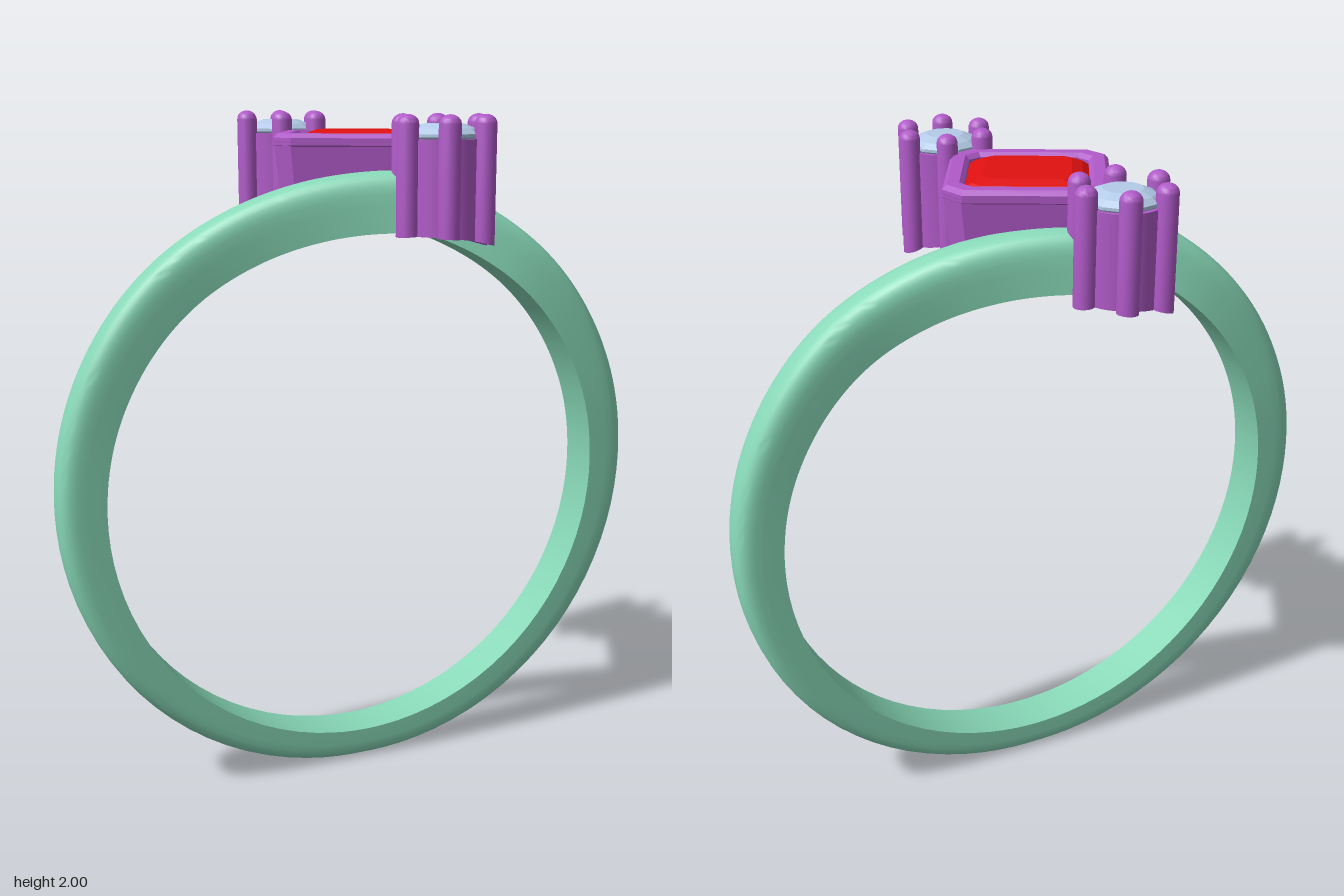
import * as THREE from 'three';
import { toCreasedNormals } from 'three/addons/utils/BufferGeometryUtils.js';

const mat = (color, flatShading = false) =>
  new THREE.MeshStandardMaterial({ color, flatShading, side: THREE.DoubleSide });
const GREEN = mat(0x88d8b8), PURPLE = mat(0xb05ac8);
const RED = mat(0xe01010, true), BLUE = mat(0xb4cbe8, true);

const FINGER_Y = 0.89, FINGER_R = 0.79, HEAD_TURN = -0.47;
const V2 = (x, y) => new THREE.Vector2(x, y);

function add(parent, name, geometry, material) {
  const mesh = new THREE.Mesh(geometry, material);
  mesh.name = name;
  parent.add(mesh);
  return mesh;
}

// Trims the underside of a part to the finger opening
function trimToFinger(geo) {
  const p = geo.attributes.position;
  geo.computeBoundingBox();
  const low = geo.boundingBox.min.y + 1e-3;
  for (let i = 0; i < p.count; i++) {
    if (p.getY(i) > low) continue;
    const x = p.getX(i);
    p.setY(i, FINGER_Y + Math.sqrt(FINGER_R ** 2 - x * x));
  }
  geo.computeVertexNormals();
  return geo;
}

// Band: domed section swept around the finger, its two ends passing each other at the top
function bandGeometry() {
  const drift = new THREE.SplineCurve([
    V2(0, 0), V2(45, 0.008), V2(90, 0.015), V2(113, 0.012),
    V2(136, -0.012), V2(152, -0.07), V2(167, -0.15), V2(181, -0.238),
  ]);
  const section = [[-0.067, 0], [0.067, 0]];
  for (let i = 0; i <= 16; i++) {
    const a = (i / 16) * Math.PI, c = Math.cos(a);
    section.push([0.067 * Math.sign(c) * Math.abs(c) ** 0.65, 0.45 + 0.55 * Math.abs(Math.sin(a)) ** 0.65]);
  }
  const n = section.length, steps = 160, pos = [], idx = [];
  for (let i = 0; i <= steps; i++) {
    const s = (i / steps) * 2 - 1, side = Math.sign(s);
    const k = drift.getPoint(Math.abs(s));
    const a = side * THREE.MathUtils.degToRad(k.x);
    const thick = 0.095 + 0.072 * (k.x / 180);
    for (const [w, h] of section) {
      const r = FINGER_R + thick * h;
      pos.push(r * Math.sin(a), FINGER_Y - r * Math.cos(a), side * k.y + w);
    }
  }
  for (let i = 0; i < steps; i++) for (let j = 0; j < n; j++) {
    const a = i * n + j, b = i * n + (j + 1) % n;
    idx.push(a, b, b + n, a, b + n, a + n);
  }
  for (let j = 1; j < n - 1; j++) {
    const e = steps * n;
    idx.push(0, j + 1, j, e, e + j, e + j + 1);
  }
  const geo = new THREE.BufferGeometry();
  geo.setAttribute('position', new THREE.Float32BufferAttribute(pos, 3));
  geo.setIndex(idx);
  return toCreasedNormals(geo, 0.7);
}

// Rectangle with cut corners, as points in the x-z plane
const cutRect = (a, b, c) => [
  V2(a, -b + c), V2(a, b - c), V2(a - c, b), V2(-a + c, b),
  V2(-a, b - c), V2(-a, -b + c), V2(-a + c, -b), V2(a - c, -b),
];

// One wall of the centre setting, tapering downward, with optional round openings
function wallGeometry(p, q, pierced) {
  const half = p.distanceTo(q) / 2, top = 1.925, bottom = 1.62;
  const shape = new THREE.Shape([V2(half, bottom), V2(half, top), V2(-half, top), V2(-half, bottom)]);
  for (let i = 1; i < 8; i++) shape.lineTo(-half + (i / 8) * 2 * half, bottom);
  if (pierced) for (const y of [1.745, 1.852]) for (const x of [-0.115, 0, 0.115]) {
    shape.holes.push(new THREE.Path().absarc(x, y, 0.036, 0, Math.PI * 2, true));
  }
  const geo = new THREE.ExtrudeGeometry(shape, { depth: 0.045, bevelEnabled: false, curveSegments: 16 });
  geo.translate(0, 0, -0.045);
  const d = q.clone().sub(p);
  geo.rotateY(Math.atan2(d.y, -d.x));
  geo.translate((p.x + q.x) / 2, 0, (p.y + q.y) / 2);
  geo.rotateY(HEAD_TURN);
  const v = geo.attributes.position;
  for (let i = 0; i < v.count; i++) {
    const s = 1 - 0.4 * (top - v.getY(i));
    v.setX(i, v.getX(i) * s);
    v.setZ(i, v.getZ(i) * s);
  }
  return trimToFinger(geo);
}

// Step-cut stone lofted through cut rectangles of [half width, y]
function stepStone() {
  const levels = [[0.03, 1.8], [0.11, 1.84], [0.178, 1.905], [0.178, 1.915], [0.15, 1.938], [0.12, 1.95]];
  const pos = [], idx = [], last = (levels.length - 1) * 8;
  for (const [a, y] of levels) for (const p of cutRect(a, a * 0.97, a * 0.2)) pos.push(p.x, y, p.y);
  for (let i = 0; i < last; i += 8) for (let j = 0; j < 8; j++) {
    const a = i + j, b = i + (j + 1) % 8;
    idx.push(a, a + 8, b + 8, a, b + 8, b);
  }
  for (let j = 1; j < 7; j++) idx.push(0, j, j + 1, last, last + j + 1, last + j);
  const geo = new THREE.BufferGeometry();
  geo.setAttribute('position', new THREE.Float32BufferAttribute(pos, 3));
  geo.setIndex(idx);
  geo.computeVertexNormals();
  return geo;
}

function centreSetting() {
  const g = new THREE.Group();
  g.name = 'centreSetting';
  const outline = cutRect(0.222, 0.216, 0.05);
  outline.forEach((p, i) =>
    add(g, 'settingWall', wallGeometry(p, outline[(i + 1) % 8], i % 4 === 0), PURPLE));

  // Bevelled rim around the stone
  const rimShape = new THREE.Shape(cutRect(0.212, 0.206, 0.048));
  rimShape.holes.push(new THREE.Path(cutRect(0.18, 0.174, 0.036).reverse()));
  const rimGeo = new THREE.ExtrudeGeometry(rimShape, {
    depth: 0.02, bevelThickness: 0.012, bevelSize: 0.012, bevelSegments: 1,
  });
  rimGeo.rotateX(-Math.PI / 2);
  add(g, 'settingRim', rimGeo.translate(0, 1.913, 0), PURPLE).rotation.y = HEAD_TURN;
  add(g, 'centreStone', stepStone(), RED).rotation.y = HEAD_TURN;

  // Ledges along the two solid walls
  const ledges = new THREE.Group();
  ledges.name = 'innerLedges';
  ledges.rotation.y = HEAD_TURN;
  for (const side of [-1, 1]) for (const y of [1.71, 1.79]) {
    add(ledges, 'ledge', new THREE.BoxGeometry(0.32, 0.02, 0.03), PURPLE).position.set(0, y, side * 0.145);
  }
  g.add(ledges);
  return g;
}

// Side setting: open cup, six round prongs and a round stone
function sideSetting(name, side) {
  const g = new THREE.Group();
  g.name = name;
  const cx = 0.097 * side, cz = 0.356 * side;
  const cup = new THREE.LatheGeometry(
    [V2(0.03, 1.62), V2(0.108, 1.62), V2(0.108, 1.935), V2(0.092, 1.935), V2(0.03, 1.85), V2(0.03, 1.62)], 40);
  add(g, 'cup', toCreasedNormals(trimToFinger(cup.translate(cx, 0, cz)), 0.6), PURPLE);

  const profile = [V2(0, 1.62), V2(0.03, 1.62)];
  for (let i = 0; i <= 6; i++) {
    const a = (i / 6) * Math.PI / 2;
    profile.push(V2(0.03 * Math.cos(a), 1.975 + 0.025 * Math.sin(a)));
  }
  for (let i = 0; i < 6; i++) {
    const a = -0.185 + (i / 3) * Math.PI;
    const prong = new THREE.LatheGeometry(profile, 18);
    prong.translate(cx + side * 0.12 * Math.cos(a), 0, cz + side * 0.12 * Math.sin(a));
    add(g, 'prong', toCreasedNormals(trimToFinger(prong), 0.6), PURPLE);
  }
  const stone = new THREE.LatheGeometry(
    [V2(0, 1.86), V2(0.103, 1.94), V2(0.103, 1.948), V2(0.085, 1.962), V2(0.055, 1.974), V2(0, 1.974)], 12);
  add(g, 'sideStone', stone.translate(cx, 0, cz), BLUE);
  return g;
}

export function createModel() {
  const model = new THREE.Group();
  model.name = 'ring';
  add(model, 'band', bandGeometry(), GREEN);
  model.add(centreSetting(), sideSetting('frontSetting', 1), sideSetting('backSetting', -1));
  return model;
}
